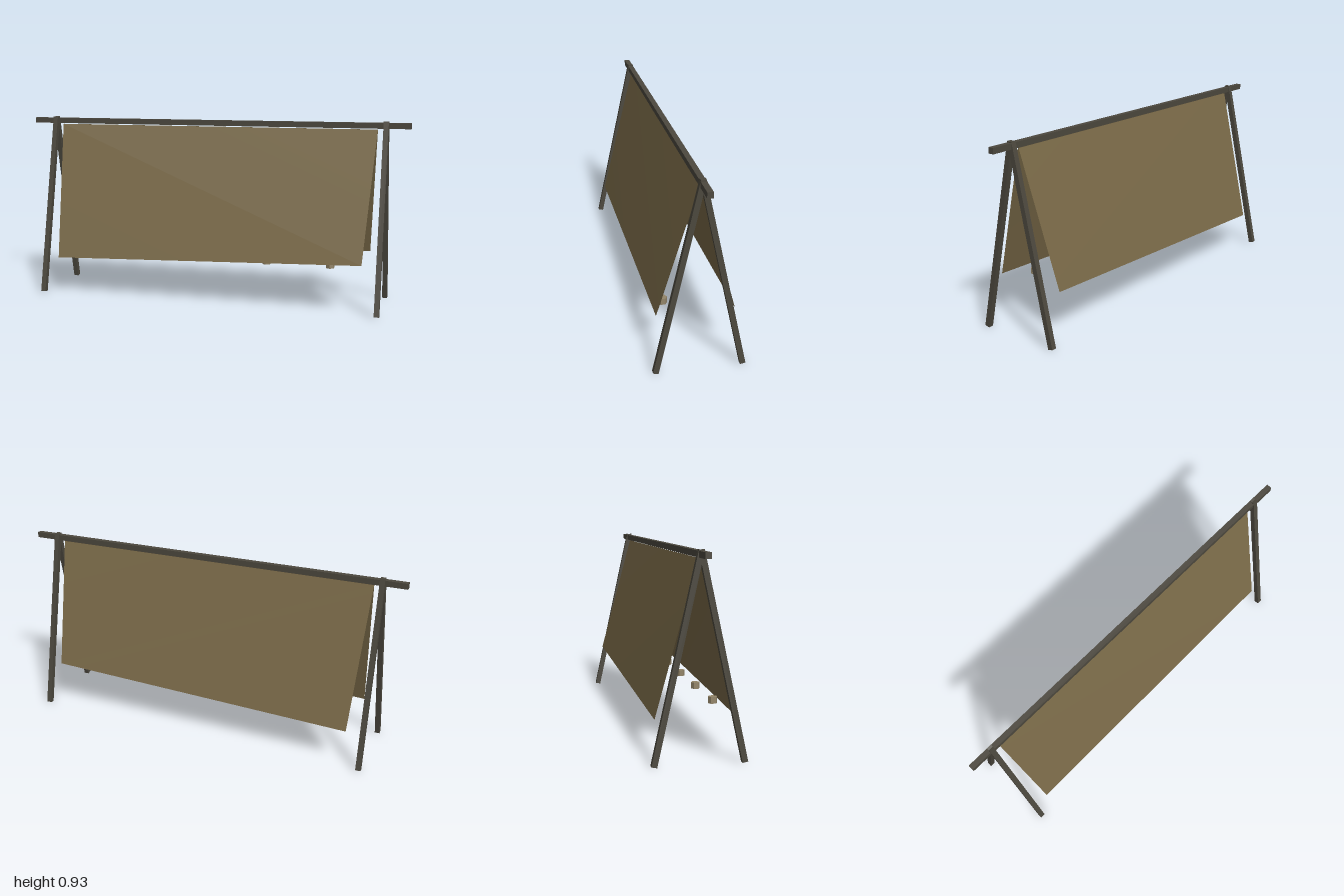
import * as THREE from 'three';

const wood = new THREE.MeshStandardMaterial({ color: 0x4c483e });
wood.name = 'dark weathered wood';
const cloth = new THREE.MeshStandardMaterial({ color: 0x7a6a48, side: THREE.DoubleSide });
cloth.name = 'tan canvas';
const stone = new THREE.MeshStandardMaterial({ color: 0x938569, flatShading: true });
stone.name = 'pale peg';

export function createModel() {
  const group = new THREE.Group();
  const add = (name, geometry, material, x = 0, y = 0, z = 0) => {
    const mesh = new THREE.Mesh(geometry, material);
    mesh.name = name;
    mesh.position.set(x, y, z);
    group.add(mesh);
    return mesh;
  };

  // Ridge beam
  add('ridgeBeam', new THREE.BoxGeometry(2, 0.028, 0.027), wood, 0, 0.905, 0);

  // A-frame legs, crossing at the ridge
  const rise = 0.92, spread = 0.2015;
  const legGeometry = new THREE.BoxGeometry(0.025, Math.hypot(rise, spread), 0.0255);
  for (const x of [-0.88, 0.88]) {
    for (const side of [1, -1]) {
      const leg = add(side > 0 ? 'frontLeg' : 'backLeg', legGeometry, wood, x, 0.003 + rise / 2, side * spread / 2);
      leg.rotation.x = -side * Math.atan2(spread, rise);
    }
  }

  // Canvas sheets with a slanting lower hem
  for (const side of [1, -1]) {
    const z = side * 0.182;
    const geometry = new THREE.BufferGeometry();
    geometry.setAttribute('position', new THREE.Float32BufferAttribute([
      -0.84, 0.886, side * 0.002, -0.8, 0.188, z,
      0.8, 0.245, z, 0.84, 0.886, side * 0.002,
    ], 3));
    geometry.setIndex(side > 0 ? [0, 1, 2, 0, 2, 3] : [0, 2, 1, 0, 3, 2]);
    geometry.computeVertexNormals();
    add(side > 0 ? 'frontSheet' : 'backSheet', geometry, cloth);
  }

  // Row of hexagonal pegs inside the front sheet
  const pegGeometry = new THREE.CylinderGeometry(0.022, 0.022, 0.031, 6);
  for (let i = -2; i <= 2; i++) add('peg', pegGeometry, stone, i * 0.32, 0.2275, 0.12);

  return group;
}
